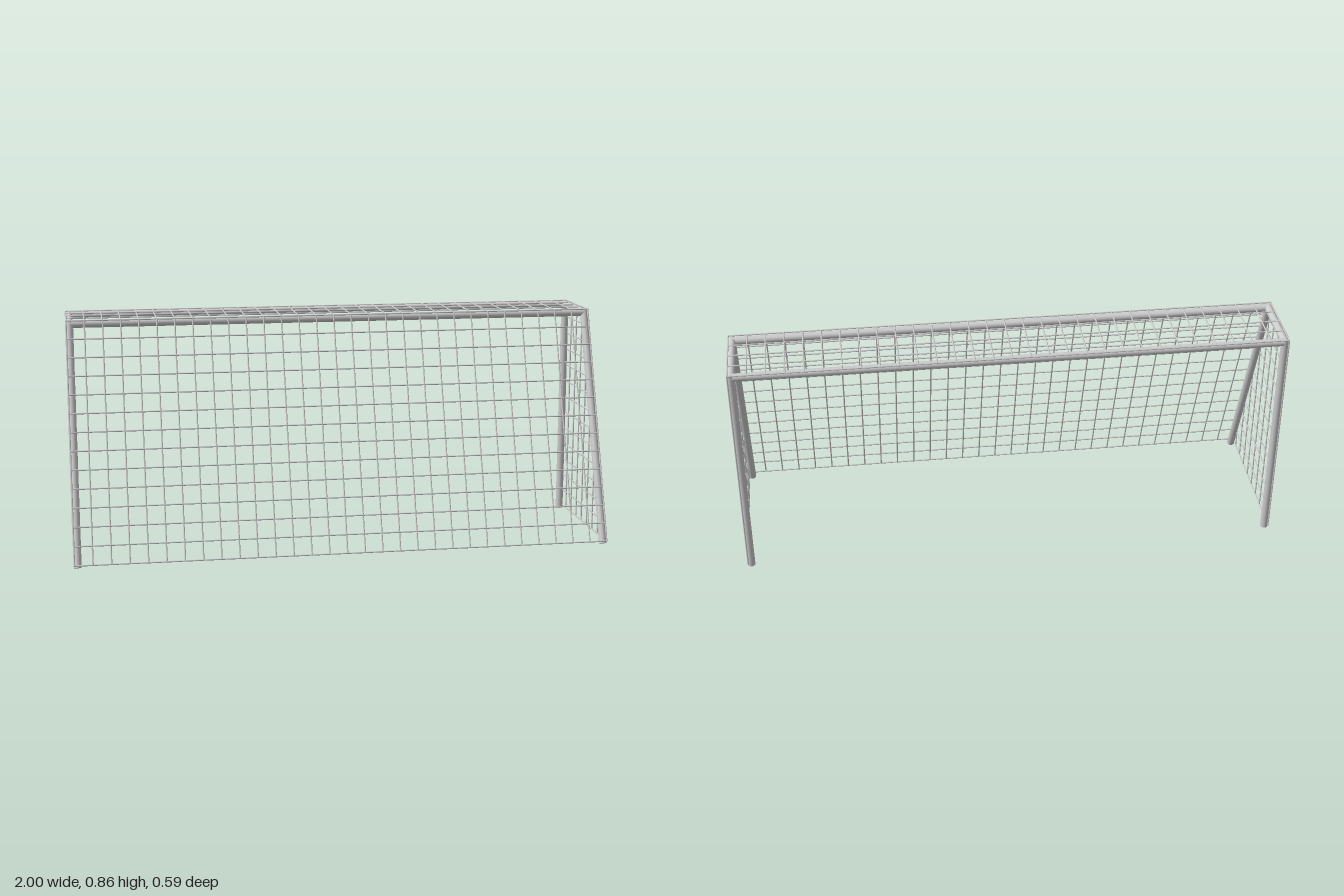
import * as THREE from 'three';
import { mergeGeometries } from 'three/addons/utils/BufferGeometryUtils.js';

const V = (x, y, z) => new THREE.Vector3(x, y, z);
const PIPE_R = 0.0142, CORD_R = 0.0027;

// Cylinder from a to b; optional plane normals slide each end's vertices onto a mitre plane
function rod(a, b, radius, sides, normalA, normalB) {
  const dir = b.clone().sub(a), length = dir.length();
  dir.normalize();
  const geo = new THREE.CylinderGeometry(radius, radius, length, sides);
  geo.applyQuaternion(new THREE.Quaternion().setFromUnitVectors(V(0, 1, 0), dir));
  const mid = a.clone().add(b).multiplyScalar(0.5);
  geo.translate(mid.x, mid.y, mid.z);
  const pos = geo.attributes.position, p = V(0, 0, 0);
  for (let i = 0; i < pos.count; i++) {
    p.fromBufferAttribute(pos, i);
    const atStart = p.clone().sub(mid).dot(dir) < 0;
    const end = atStart ? a : b, n = atStart ? normalA : normalB;
    if (!n) continue;
    p.addScaledVector(dir, end.clone().sub(p).dot(n) / dir.dot(n));
    pos.setXYZ(i, p.x, p.y, p.z);
  }
  return geo;
}

// Normal of the mitre plane where a-b meets b-c
function mitre(a, b, c) {
  const u = b.clone().sub(a).normalize(), v = c.clone().sub(b).normalize();
  return u.add(v).normalize();
}

export function createModel() {
  const group = new THREE.Group();
  const material = new THREE.MeshStandardMaterial({ color: 0xcccccc });
  const add = (name, geometry) => {
    const mesh = new THREE.Mesh(geometry, material);
    mesh.name = name;
    group.add(mesh);
  };
  const cord = (a, b) => rod(a, b, CORD_R, 8);

  // Tubular side frames: upright post, short top bar, sloping stay
  const postX = 0.9855, barY = 0.848, postZ = -0.2765, stayZ = -0.036;
  for (const side of [-1, 1]) {
    const x = side * postX, label = side > 0 ? 'left' : 'right';
    const foot = V(x, 0.007, postZ), postTop = V(x, barY, postZ);
    const stayTop = V(x, barY, stayZ), stayFoot = V(x, 0.007, 0.279);
    const m1 = mitre(foot, postTop, stayTop), m2 = mitre(postTop, stayTop, stayFoot);
    add(label + 'Post', rod(foot, postTop, PIPE_R, 24, null, m1));
    add(label + 'TopBar', rod(postTop, stayTop, PIPE_R, 24, m1, m2));
    add(label + 'Stay', rod(stayTop, stayFoot, PIPE_R, 24, m2, null));
  }

  // Long crossbars
  add('mouthCrossbar', rod(V(-postX, barY, postZ), V(postX, barY, postZ), PIPE_R, 24));
  add('netCrossbar', rod(V(-postX, barY, stayZ), V(postX, barY, stayZ), PIPE_R, 24));

  // Net outline, level with the outside of the pipes
  const nx = 0.9973, top = 0.862, bottom = 0.018, back = -0.29, ridge = -0.023, toe = 0.29;
  const rows = 13, columns = 30, cell = 2 / columns;
  const slopeZ = y => ridge + (toe - ridge) * (top - y) / (top - bottom);
  const slopeY = z => z <= ridge ? top : top - (top - bottom) * (z - ridge) / (toe - ridge);
  const rowY = i => bottom + (top - bottom) * i / rows;

  // Roof and sloping nets share the lengthwise columns
  const roof = [], slope = [];
  for (let i = 0; i <= columns; i++) {
    const x = -nx + 2 * nx * i / columns;
    roof.push(cord(V(x, top, back), V(x, top, ridge)));
    slope.push(cord(V(x, top, ridge), V(x, bottom, toe)));
  }
  for (let i = 0; i < 4; i++) {
    const z = back + i * cell;
    roof.push(cord(V(-nx, top, z), V(nx, top, z)));
  }
  for (let i = 0; i <= rows; i++) {
    const y = rowY(i), z = slopeZ(y);
    slope.push(cord(V(-nx, y, z), V(nx, y, z)));
  }
  add('roofNet', mergeGeometries(roof));
  add('slopingNet', mergeGeometries(slope));

  // Side nets, trimmed along the slope
  for (const side of [-1, 1]) {
    const x = side * nx, net = [];
    for (let i = 0; i <= rows; i++) {
      const y = rowY(i);
      net.push(cord(V(x, y, back), V(x, y, slopeZ(y))));
    }
    for (let z = back; z < toe - 0.01; z += cell) {
      net.push(cord(V(x, bottom, z), V(x, slopeY(z), z)));
    }
    add(side > 0 ? 'leftNet' : 'rightNet', mergeGeometries(net));
  }
  return group;
}
